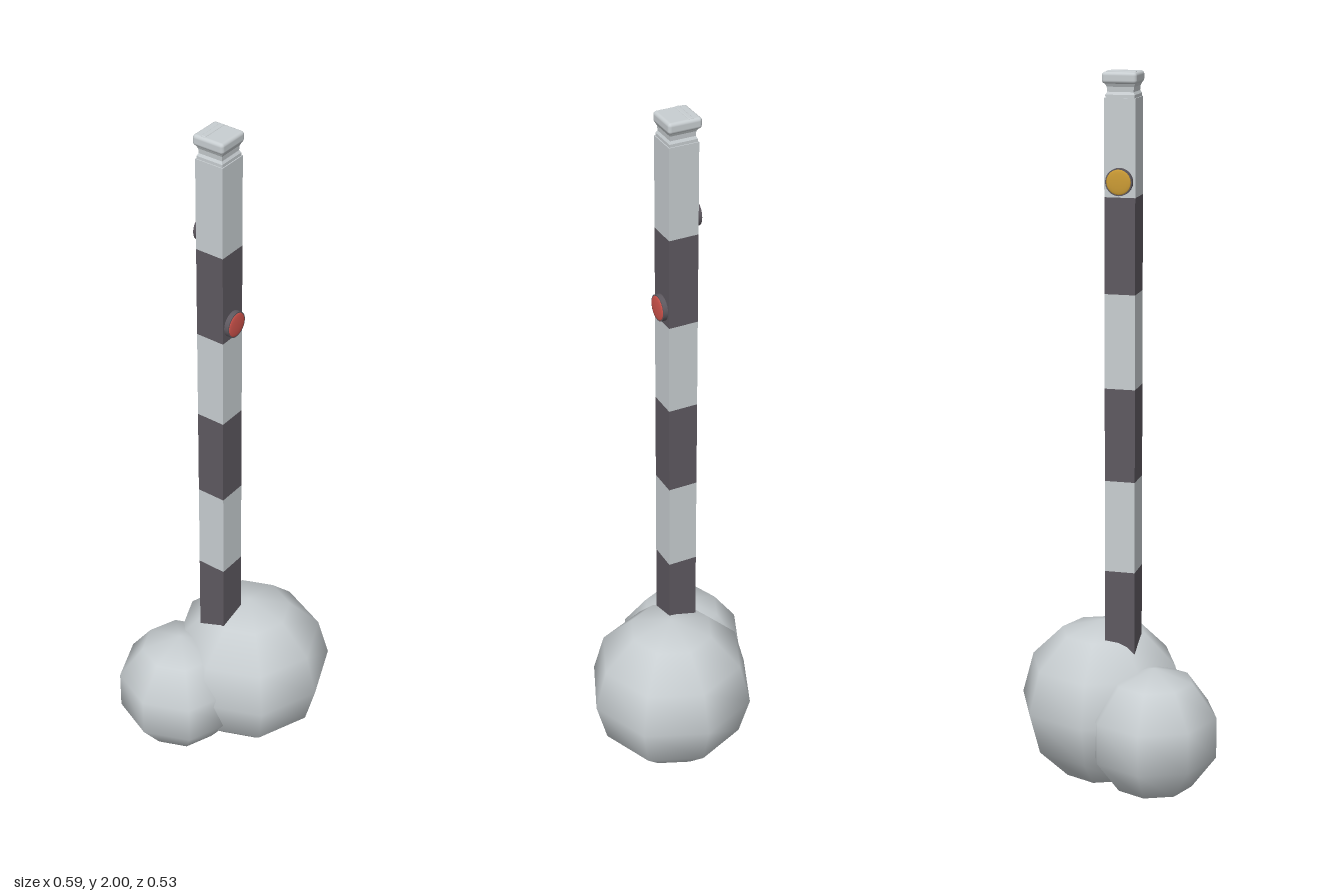
import * as THREE from 'three';
import { RoundedBoxGeometry } from 'three/addons/geometries/RoundedBoxGeometry.js';

const mat = (name, color) => {
  const m = new THREE.MeshStandardMaterial({ color });
  m.name = name;
  return m;
};

export function createModel() {
  const light = mat('pale grey', 0xc8ced1);
  const dark = mat('charcoal', 0x5e5960);
  const red = mat('reflector red', 0xd2544c);
  const amber = mat('reflector amber', 0xcc9c35);

  const model = new THREE.Group();
  model.name = 'roadMarkerPost';

  const add = (parent, name, geometry, material, x = 0, y = 0, z = 0) => {
    const mesh = new THREE.Mesh(geometry, material);
    mesh.name = name;
    mesh.position.set(x, y, z);
    parent.add(mesh);
    return mesh;
  };

  // Low-poly boulders with smooth shading
  add(model, 'largeBoulder', new THREE.SphereGeometry(0.238, 8, 6), light, 0.055, 0.243, 0.028);
  add(model, 'smallBoulder', new THREE.SphereGeometry(0.187, 8, 5), light, -0.117, 0.21, -0.091);

  const post = new THREE.Group();
  post.name = 'post';
  post.position.set(-0.015, 0, -0.022);
  model.add(post);

  // Alternating square bands; the lowest one runs down into the boulder
  const top = 1.932, band = 0.2555, width = 0.083;
  for (let i = 0; i < 6; i++) {
    const y1 = top - i * band;
    const y0 = i === 5 ? 0.32 : y1 - band;
    add(post, i % 2 ? 'darkBand' : 'lightBand',
      new THREE.BoxGeometry(width, y1 - y0, width), i % 2 ? dark : light, 0, (y0 + y1) / 2, 0);
  }

  // Square neck, pinched in below the cap
  const profile = [[0, 1.93], [0.039, 1.93], [0.039, 1.94], [0.035, 1.947], [0.036, 1.96], [0.043, 1.974], [0, 1.976]]
    .map(([half, y]) => new THREE.Vector2(half * Math.SQRT2, y));
  const neck = new THREE.LatheGeometry(profile, 4, Math.PI / 4).toNonIndexed();
  neck.computeVertexNormals();
  add(post, 'capNeck', neck, light);

  // Rounded cap with a low ridge across it
  add(post, 'cap', new RoundedBoxGeometry(0.093, 0.03, 0.093, 3, 0.009), light, 0.001, 1.983, -0.002);
  add(post, 'capRidge', new RoundedBoxGeometry(0.08, 0.006, 0.014, 2, 0.0028), light, 0.001, 1.997, -0.019);

  // Round reflectors: dark rim with a shallow domed lens
  const reflector = (name, lens, y, facing) => {
    const g = new THREE.Group();
    g.name = name;
    g.position.set(0, y, facing * width / 2);
    g.rotation.x = facing * Math.PI / 2;
    post.add(g);
    add(g, 'reflectorRim', new THREE.CylinderGeometry(0.036, 0.036, 0.018, 24), dark, 0, 0.004, 0);
    const dome = new THREE.SphereGeometry(0.033, 24, 6, 0, Math.PI * 2, 0, Math.PI / 2);
    dome.scale(1, 0.12, 1);
    add(g, 'reflectorLens', dome, lens, 0, 0.0132, 0);
  };
  reflector('frontReflector', red, 1.465, 1);
  reflector('backReflector', amber, 1.718, -1);

  return model;
}
